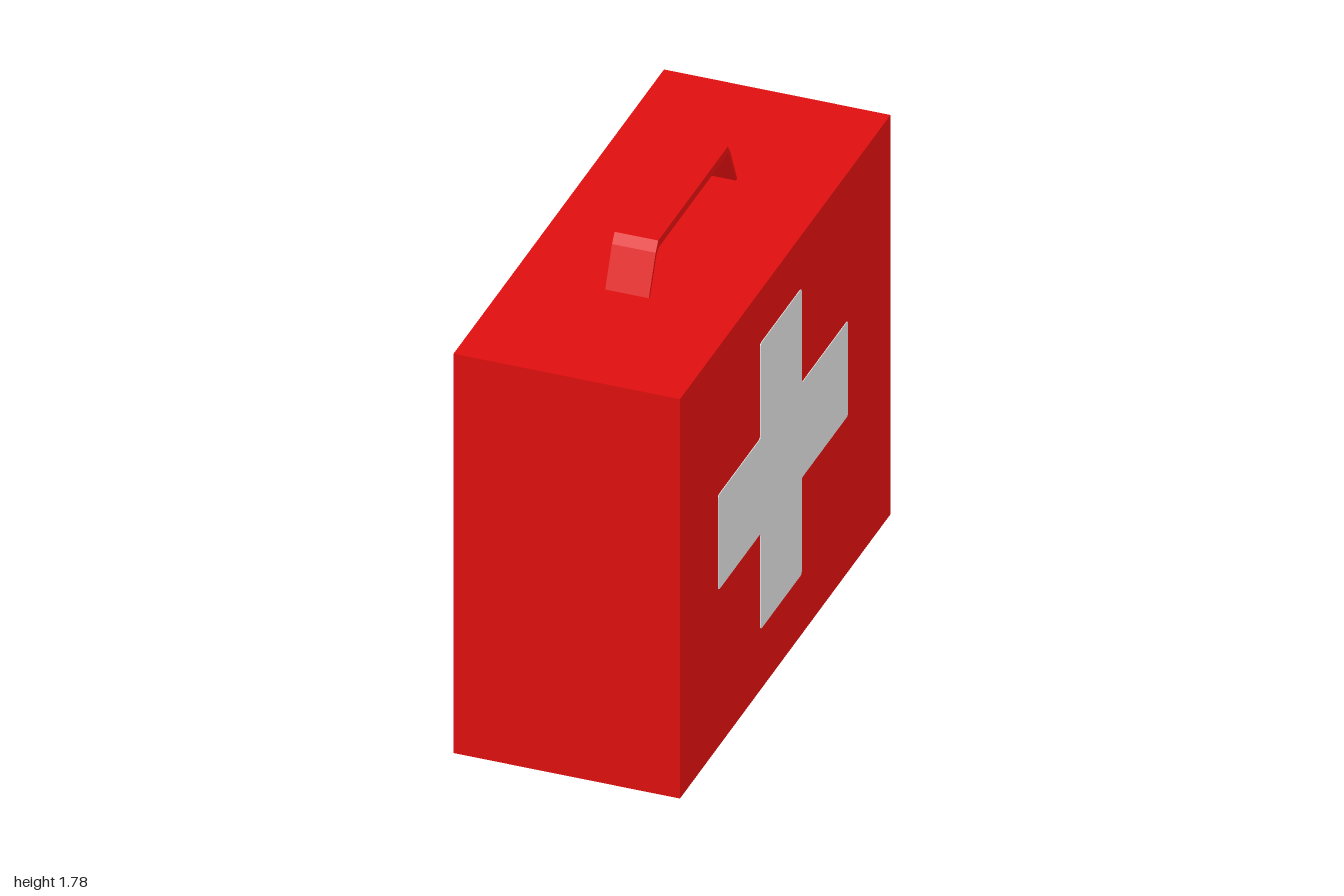
import * as THREE from 'three';

const red = new THREE.MeshStandardMaterial({ color: 0xe00f0f });
red.name = 'red';
const white = new THREE.MeshStandardMaterial({ color: 0xdfdfdf });
white.name = 'white';

const HALF_WIDTH = 0.415;
const HEIGHT = 1.6;

function add(group, name, geometry, material) {
  const mesh = new THREE.Mesh(geometry, material);
  mesh.name = name;
  group.add(mesh);
  return mesh;
}

// Cross outline with slightly rounded corners, in (z, y)
function crossShape() {
  const z = [-0.59, -0.15, 0.24, 0.64];
  const y = [0.245, 0.63, 1.01, 1.39];
  const corners = [
    [1, 0], [2, 0], [2, 1], [3, 1], [3, 2], [2, 2],
    [2, 3], [1, 3], [1, 2], [0, 2], [0, 1], [1, 1],
  ].map(([i, j]) => new THREE.Vector2(z[i], y[j]));
  const shape = new THREE.Shape();
  const n = corners.length;
  corners.forEach((c, i) => {
    const toward = (p) => p.clone().sub(c).setLength(0.012).add(c);
    const start = toward(corners[(i + n - 1) % n]);
    const end = toward(corners[(i + 1) % n]);
    if (i === 0) shape.moveTo(start.x, start.y);
    else shape.lineTo(start.x, start.y);
    shape.quadraticCurveTo(c.x, c.y, end.x, end.y);
  });
  shape.closePath();
  return shape;
}

// Bent strap profile in (z, y)
function handleShape() {
  const outer = [[0.42, HEIGHT], [0.355, 1.745], [0.33, 1.78]];
  const inner = [[0.325, 1.75], [0.345, 1.735], [0.408, HEIGHT]];
  const mirror = (pts) => pts.map(([z, y]) => [-z, y]).reverse();
  const points = [...outer, ...mirror(outer), ...mirror(inner), ...inner];
  return new THREE.Shape(points.map(([z, y]) => new THREE.Vector2(z, y)));
}

export function createModel() {
  const model = new THREE.Group();
  model.name = 'firstAidCase';

  // Case
  const body = new THREE.BoxGeometry(HALF_WIDTH * 2, HEIGHT, 2);
  body.translate(0, HEIGHT / 2, 0);
  add(model, 'caseBody', body, red);

  // Carrying handle, running front to back
  const handle = new THREE.ExtrudeGeometry(handleShape(), { depth: 0.16, bevelEnabled: false });
  handle.rotateY(-Math.PI / 2);
  handle.translate(0.077, 0, 0);
  add(model, 'handle', handle, red);

  // Thin cross plates, turned half round between the two sides
  const plate = new THREE.ExtrudeGeometry(crossShape(), { depth: 0.004, bevelEnabled: false, curveSegments: 3 });
  plate.rotateY(-Math.PI / 2);
  plate.translate(HALF_WIDTH + 0.003, 0, 0);
  add(model, 'leftCross', plate, white);
  add(model, 'rightCross', plate, white).rotation.y = Math.PI;

  return model;
}
